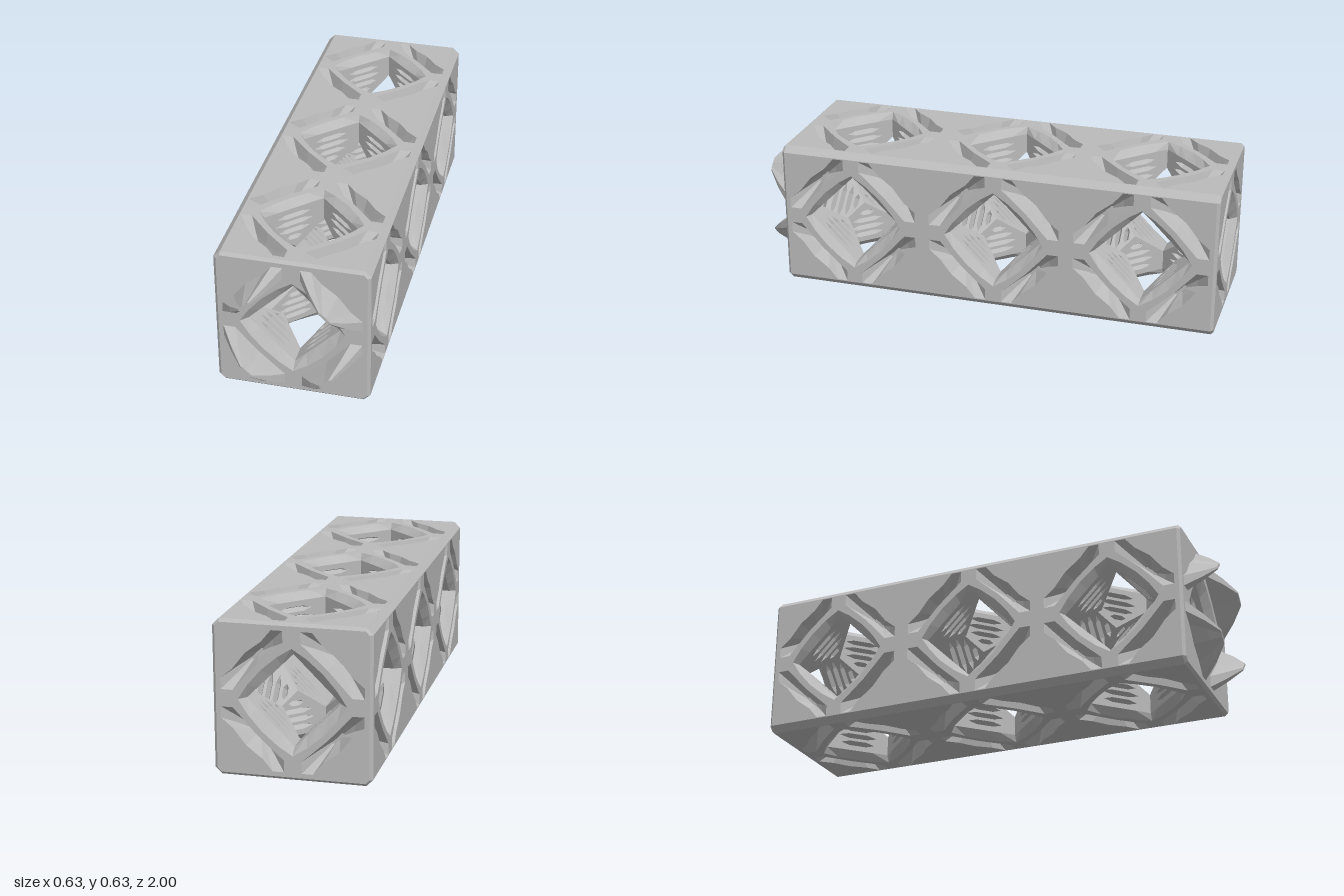
import * as THREE from 'three';

const V2 = (x, y) => new THREE.Vector2(x, y);
const V3 = (x, y, z) => new THREE.Vector3(x, y, z);
const H = 2 / 6 - 0.01908;          // half a cell
const BACK = -1, FRONT = BACK + 6 * H;
const CUT = 0.027, BEVEL = 0.012;   // long edge chamfer, end bevel
const FLARE = 0.03;                 // depth of the flared hole rim
const SIGNS = [[1, 1], [-1, 1], [-1, -1], [1, -1]];
const X = V3(1, 0, 0), Y = V3(0, 1, 0), Z = V3(0, 0, 1);

// half diagonal of the diamond tunnel running along an axis
const tunnel = (axis) => (Math.abs(axis.z) > 0.5 ? 0.186 : 0.2);

// wavy rim of a hole and outline of a locking slot, one quadrant
const RIM = [[0, 0.215], [0.25, 0.236], [0.5, 0.245], [0.75, 0.236], [1, 0.215]];
const SLOT = [
  [0.035, 0.283], [0.08, 0.283], [0.12, 0.235], [0.185, 0.185], [0.235, 0.12], [0.283, 0.08],
  [0.283, 0.035], [0.235, 0.035], [0.19, 0.085], [0.14, 0.14], [0.085, 0.19], [0.035, 0.235],
];

// collects triangles, each turned to face a hint direction
class Surface {
  constructor() { this.data = []; }
  tri(a, b, c, hint) {
    const n = b.clone().sub(a).cross(c.clone().sub(a));
    const list = n.dot(hint) < 0 ? [a, c, b] : [a, b, c];
    for (const p of list) this.data.push(p.x, p.y, p.z);
  }
  quad(a, b, c, d, hint) { this.tri(a, b, c, hint); this.tri(a, c, d, hint); }
  // flat sheet with holes, placed by a map from 2D to 3D
  sheet(contour, holes, map, hint) {
    const faces = THREE.ShapeUtils.triangulateShape(contour, holes);
    const all = contour.concat(...holes).map(map);
    for (const [a, b, c] of faces) this.tri(all[a], all[b], all[c], hint);
  }
  mesh(name, material) {
    const g = new THREE.BufferGeometry();
    g.setAttribute('position', new THREE.Float32BufferAttribute(this.data, 3));
    g.computeVertexNormals();
    const m = new THREE.Mesh(g, material);
    m.name = name;
    return m;
  }
}

// local frame of a cell face: u, v in the face, n outward, measured from the cell centre
const frame = (o, u, v, n) => ({
  o, u, v, n,
  at: (x, y, d) => o.clone().addScaledVector(u, x).addScaledVector(v, y).addScaledVector(n, d),
});

const holeOutline = () => SIGNS.flatMap(([sx, sy], i) => {
  const pts = RIM.map(([f, r]) => V2(sx * f * r, sy * (1 - f) * r));
  return (i % 2 ? pts : pts.reverse()).slice(0, -1);
});
const slotOutlines = () => SIGNS.map(([sx, sy]) => SLOT.map(([x, y]) => V2(sx * x, sy * y)));
const shift = (pts, dx) => pts.map((p) => V2(p.x + dx, p.y));

// tapered prism on the slot outline: a plug for positive height, a recess for negative
function taper(surf, f, sx, sy, height) {
  const c = 0.16;
  const loops = [[1, 0], [0.6, 0.55], [0.18, 1]].map(([s, t]) => SLOT.map(([x, y]) =>
    f.at(sx * (c + (x - c) * s), sy * (c + (y - c) * s), H + height * t)));
  for (let k = 0; k < 2; k++) {
    SLOT.forEach((_, i) => {
      const j = (i + 1) % SLOT.length;
      surf.quad(loops[k][i], loops[k][j], loops[k + 1][j], loops[k + 1][i], f.n);
    });
  }
  const tip = loops[2];
  const mid = tip.reduce((s, p) => s.add(p), V3(0, 0, 0)).divideScalar(tip.length);
  tip.forEach((p, i) => surf.tri(p, tip[(i + 1) % tip.length], mid, f.n));
}

// four slotted walls of the tunnel behind one cell face
function walls(surf, f, open) {
  const aN = tunnel(f.n), aU = tunnel(f.u), aV = tunnel(f.v);
  const top = open ? H - FLARE : H;
  const tx = (aN + aV - aU) / 2, tipDepth = aU - (aN - tx);
  for (const [sx, sy] of SIGNS) {
    const out = f.u.clone().multiplyScalar(sx).addScaledVector(f.v, sy).normalize();
    const hint = out.clone().negate();
    const map = (p) => f.at(sx * p.x, sy * (aN - p.x), p.y);
    const contour = [V2(aN, top), V2(aN, aU), V2(tx, tipDepth), V2(0, aV), V2(0, top)];
    const grooves = [0.145, 0.18, 0.215, 0.25].map((d, i) => {
      const l = [0.026, 0.052, 0.062, 0.055][i], w = 0.011, m = aN / 2;
      return [V2(m - l, d), V2(m - l / 2, d + w), V2(m + l / 2, d + w),
        V2(m + l, d), V2(m + l / 2, d - w), V2(m - l / 2, d - w)];
    });
    surf.sheet(contour, grooves, map, hint);
    // V-shaped grooves
    for (const g of grooves) {
      const p = g.map(map), mid = (p[0].clone().add(p[3])).multiplyScalar(0.5);
      const b0 = p[0].clone().lerp(mid, 0.4).addScaledVector(out, 0.03);
      const b1 = p[3].clone().lerp(mid, 0.4).addScaledVector(out, 0.03);
      surf.quad(p[1], p[2], b1, b0, hint);
      surf.quad(p[4], p[5], b0, b1, hint);
      surf.tri(p[0], p[1], b0, hint);
      surf.tri(p[5], p[0], b0, hint);
      surf.tri(p[2], p[3], b1, hint);
      surf.tri(p[3], p[4], b1, hint);
    }
    if (!open) continue;
    // flare from the wavy rim to the wall
    for (let i = 0; i < RIM.length - 1; i++) {
      const [a, b] = [RIM[i], RIM[i + 1]];
      const rim = ([t, r]) => f.at(sx * t * r, sy * (1 - t) * r, H);
      const low = ([t]) => f.at(sx * t * aN, sy * (1 - t) * aN, top);
      surf.quad(rim(a), rim(b), low(b), low(a), hint);
    }
  }
}

const octagon = (h, c) => SIGNS.flatMap(([sx, sy]) => {
  const p = [V2(sx * h, sy * (h - c)), V2(sx * (h - c), sy * h)];
  return sx * sy > 0 ? p : p.reverse();
});

export function createModel() {
  const grey = new THREE.MeshStandardMaterial({ color: 0xbababa, side: THREE.DoubleSide });
  grey.name = 'plain grey';
  const shell = new Surface(), lining = new Surface(), recesses = new Surface(), plugs = new Surface();
  const centres = [0, 1, 2].map((k) => BACK + H * (2 * k + 1));
  const sides = [[X, Y], [X.clone().negate(), Y], [Y, X], [Y.clone().negate(), X]];

  // long sides with three holes and their slots
  for (const [n, v] of sides) {
    const w = H - CUT;
    const contour = [V2(BACK + BEVEL, -w), V2(FRONT - BEVEL, -w), V2(FRONT - BEVEL, w), V2(BACK + BEVEL, w)];
    const holes = centres.flatMap((c) => [holeOutline(), ...slotOutlines()].map((o) => shift(o, c)));
    const whole = frame(V3(0, H, 0), Z, v, n);
    shell.sheet(contour, holes, (p) => whole.at(p.x, p.y, H), n);
    for (const c of centres) {
      const f = frame(V3(0, H, c), Z, v, n);
      walls(lining, f, true);
      for (const [sx, sy] of SIGNS) taper(recesses, f, sx, sy, -0.09);
    }
  }

  // ends: plugs in front, matching recesses behind, bevelled all round
  const outer = octagon(H, CUT), inner = octagon(H - BEVEL, 0.016);
  for (const s of [1, -1]) {
    const n = Z.clone().multiplyScalar(s), end = s > 0 ? FRONT : BACK;
    const f = frame(V3(0, H, end - s * H), X, Y, n);
    const holes = s > 0 ? [holeOutline()] : [holeOutline(), ...slotOutlines()];
    shell.sheet(inner, holes, (p) => f.at(p.x, p.y, H), n);
    for (const [sx, sy] of SIGNS) taper(s > 0 ? plugs : recesses, f, sx, sy, s > 0 ? 1 - FRONT : -0.09);
    outer.forEach((p, i) => {
      const j = (i + 1) % 8, q = outer[j], a = inner[i], b = inner[j];
      shell.quad(f.at(p.x, p.y, H - BEVEL), f.at(q.x, q.y, H - BEVEL), f.at(b.x, b.y, H), f.at(a.x, a.y, H), n);
    });
    for (const c of centres) {
      walls(lining, frame(V3(0, H, c), X, Y, n), Math.abs(c + s * H - end) < 0.01);
    }
  }

  // chamfers along the four long edges
  for (let i = 0; i < 8; i += 2) {
    const p = outer[i], q = outer[i + 1];
    const at = (r, z) => V3(r.x, r.y + H, z);
    shell.quad(at(p, BACK + BEVEL), at(q, BACK + BEVEL), at(q, FRONT - BEVEL), at(p, FRONT - BEVEL),
      V3(p.x + q.x, p.y + q.y, 0));
  }

  const group = new THREE.Group();
  group.name = 'latticeBeam';
  group.add(shell.mesh('beamShell', grey), lining.mesh('tunnelWalls', grey),
    recesses.mesh('lockingRecesses', grey), plugs.mesh('lockingPlugs', grey));
  return group;
}
